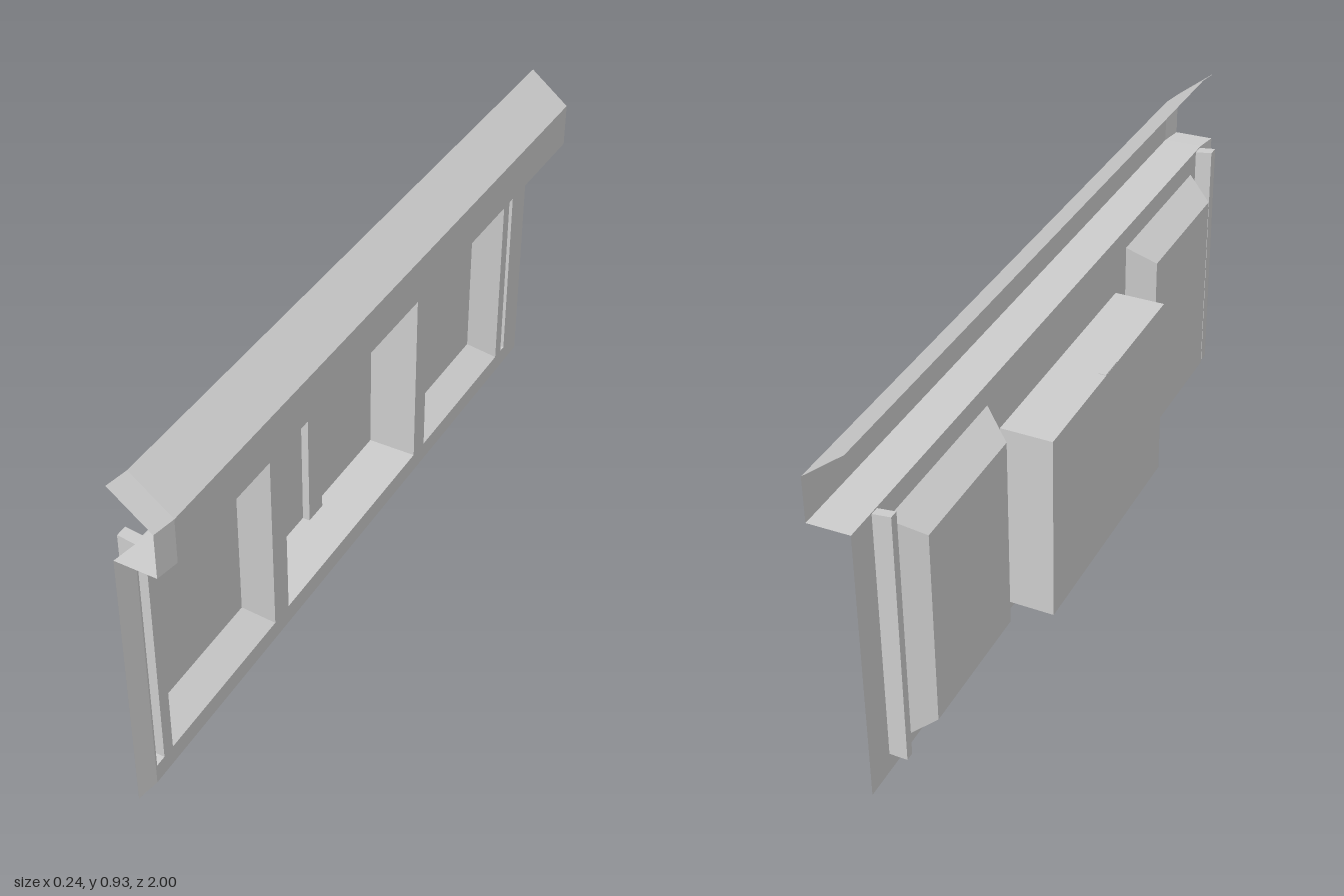
import * as THREE from 'three';

const material = new THREE.MeshStandardMaterial({
  color: 0xcccccc, side: THREE.DoubleSide, flatShading: true,
});

const FACE = 0.014;   // x of the sheet face
const BEND = 0.94;    // z where the end of the sheet folds back
const SHIFT = -0.01;  // how far the folded end moves back

// One mesh from a list of four-cornered faces
function quadMesh(name, quads) {
  const points = [];
  for (const [a, b, c, d] of quads) points.push(...a, ...b, ...c, ...a, ...c, ...d);
  const geometry = new THREE.BufferGeometry();
  geometry.setAttribute('position', new THREE.Float32BufferAttribute(points, 3));
  geometry.computeVertexNormals();
  return new THREE.Mesh(geometry, material);
}

function named(mesh, name) {
  mesh.name = name;
  return mesh;
}

// Corners of an upright rectangle at a given x, counter-clockwise seen from +x
function rect(x, [z0, z1, y0, y1]) {
  return [[x, y0, z1], [x, y0, z0], [x, y1, z0], [x, y1, z1]];
}

// Open box pressed back from one rectangle to another
function recess(name, xFront, outer, xBack, inner) {
  const f = rect(xFront, outer), b = rect(xBack, inner);
  const quads = [b];
  for (let i = 0; i < 4; i++) {
    const j = (i + 1) % 4;
    quads.push([f[i], f[j], b[j], b[i]]);
  }
  return named(quadMesh(name, quads), name);
}

// Sheet swept along z through an x-y profile, folding back at the end
function sweep(name, profile, stations) {
  const quads = [];
  for (let s = 0; s + 1 < stations.length; s++) {
    const [z0, d0] = stations[s], [z1, d1] = stations[s + 1];
    for (let i = 0; i + 1 < profile.length; i++) {
      const [xa, ya] = profile[i], [xb, yb] = profile[i + 1];
      quads.push([[xa + d0, ya, z0], [xb + d0, yb, z0], [xb + d1, yb, z1], [xa + d1, ya, z1]]);
    }
  }
  return named(quadMesh(name, quads), name);
}

export function createModel() {
  const group = new THREE.Group();
  group.name = 'wallPanel';

  // Openings as [z0, z1, y0, y1]
  const bays = [[0.41, 0.87, 0.052, 0.676], [-0.86, -0.395, 0.052, 0.676]];
  const bayBacks = [[0.445, 0.823, 0.1, 0.628], [-0.818, -0.448, 0.1, 0.628]];
  const slots = [[0.905, 0.935, 0.052, 0.73], [-0.917, -0.895, 0.052, 0.73]];
  const niche = [-0.335, 0.345, 0.054, 0.575];

  // Face sheet with its openings
  const shape = new THREE.Shape([
    new THREE.Vector2(-BEND, 0), new THREE.Vector2(1, 0),
    new THREE.Vector2(1, 0.733), new THREE.Vector2(-BEND, 0.733),
  ]);
  for (const [z0, z1, y0, y1] of [...bays, ...slots, niche]) {
    shape.holes.push(new THREE.Path([
      new THREE.Vector2(-z0, y0), new THREE.Vector2(-z1, y0),
      new THREE.Vector2(-z1, y1), new THREE.Vector2(-z0, y1),
    ]));
  }
  const face = new THREE.ShapeGeometry(shape);
  face.rotateY(Math.PI / 2).translate(FACE, 0, 0);
  group.add(named(new THREE.Mesh(face, material), 'faceSheet'));

  // Folded end of the face sheet
  group.add(sweep('faceSheetEnd', [[FACE, 0], [FACE, 0.733]], [[BEND, 0], [1, SHIFT]]));

  // Recesses pressed into the sheet
  bays.forEach((bay, i) => group.add(recess('sideBay', FACE, bay, -0.06, bayBacks[i])));
  slots.forEach((slot) => {
    const back = [slot[0], slot[1], slot[2], 0.736];
    group.add(recess('slot', FACE, slot, -0.032, back));
  });
  group.add(recess('centreNiche', FACE, niche, -0.122, niche));

  // Upright rib in the middle of the niche
  const rib = new THREE.Mesh(new THREE.BoxGeometry(0.02, 0.523, 0.068), material);
  rib.position.set(-0.1115, 0.3155, 0.006);
  group.add(named(rib, 'centreRib'));

  // Cornice: ledge, upright face and sloping top
  group.add(sweep('cornice',
    [[FACE, 0.733], [0.12, 0.731], [0.12, 0.848], [FACE, 0.932]],
    [[-1, 0], [BEND, 0], [1, SHIFT]]));

  return group;
}
